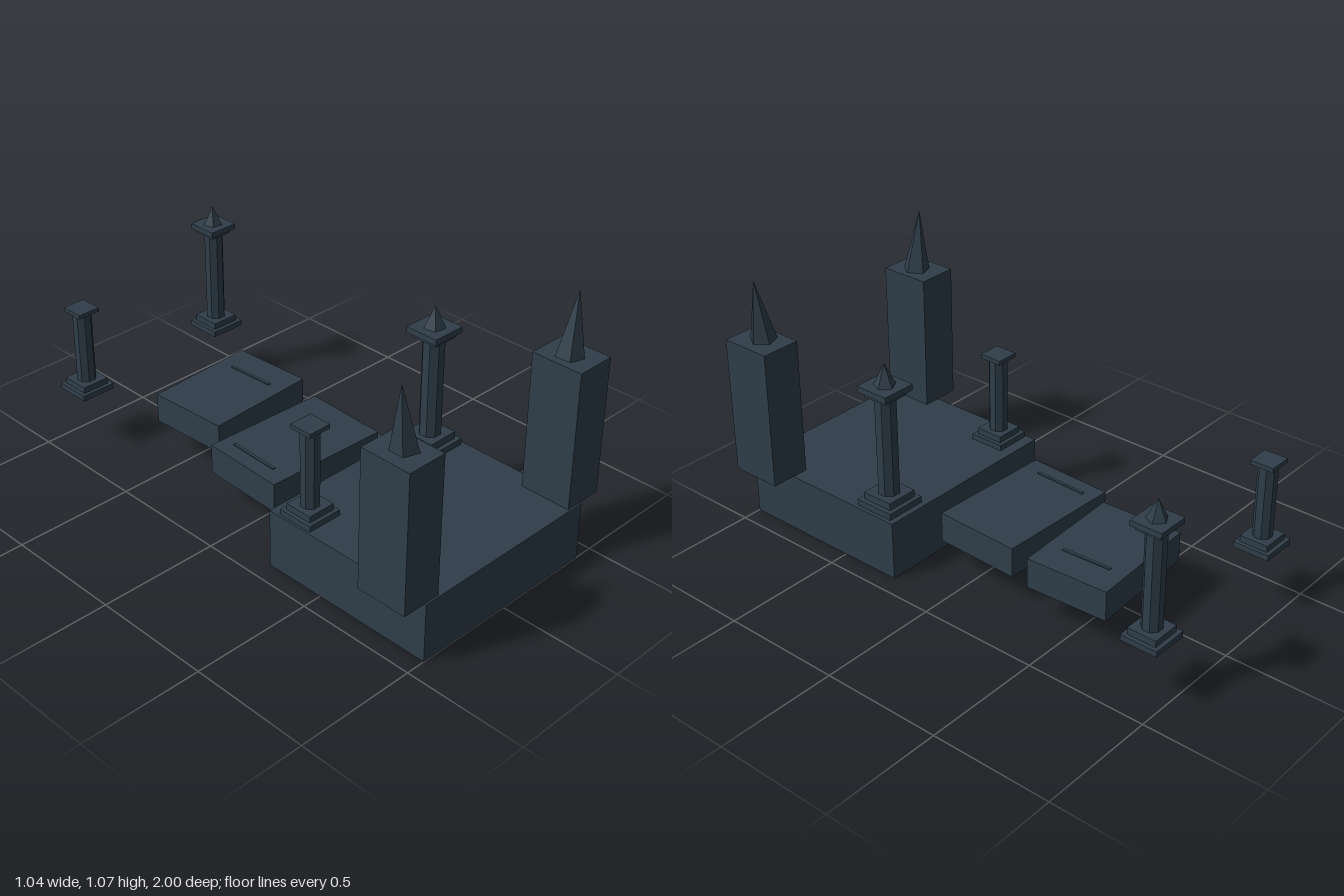
import * as THREE from 'three';

const stone = new THREE.MeshStandardMaterial({ color: 0x2f3e4a, flatShading: true });
stone.name = 'dark slate stone';
stone.side = THREE.DoubleSide;

const BASE = 0.245; // deck level

function add(parent, name, geometry, x, y, z) {
  const mesh = new THREE.Mesh(geometry, stone);
  mesh.name = name;
  mesh.position.set(x, y, z);
  parent.add(mesh);
  return mesh;
}

// Square block standing on height y
function block(parent, name, w, h, d, x, y, z) {
  return add(parent, name, new THREE.BoxGeometry(w, h, d), x, y + h / 2, z);
}

// Platform: a hollow box, open underneath
function platform() {
  const geo = new THREE.BoxGeometry(0.84, BASE, 0.76);
  const index = Array.from(geo.index.array);
  index.splice(18, 6); // leave out the bottom face
  geo.setIndex(index);
  geo.clearGroups();
  return geo;
}

// Tower with a leaning five-sided spire
function tower(side) {
  const g = new THREE.Group();
  g.name = side < 0 ? 'rightTower' : 'leftTower';
  block(g, 'towerBody', 0.167, 0.57, 0.215, 0, 0, 0);
  const geo = new THREE.ConeGeometry(0.055, 0.257, 5, 1);
  geo.rotateY(side < 0 ? Math.PI / 2 : 0.35);
  geo.translate(0, 0.1285, 0);
  const spire = add(g, 'spire', geo, -side * 0.01, 0.568, 0);
  spire.rotation.z = -side * 0.1;
  g.position.set(side * 0.435, BASE, 0.885);
  return g;
}

// Stepped column with an octagonal shaft; whole ones carry a second cap and finial
function pillar(name, x, z, s, top, whole) {
  const g = new THREE.Group();
  g.name = name;
  const tier1 = 0.027 * s, tier2 = 0.03 * s;
  const shaftStart = tier1 + tier2;
  const shaftHeight = top - BASE - shaftStart;
  block(g, 'plinth', 0.172 * s, tier1, 0.172 * s, 0, 0, 0);
  block(g, 'upperPlinth', 0.135 * s, tier2, 0.135 * s, 0, tier1, 0);
  const shaft = new THREE.CylinderGeometry(0.0445 * s, 0.0445 * s, shaftHeight, 8);
  shaft.rotateY(Math.PI / 8);
  add(g, 'shaft', shaft, 0, shaftStart + shaftHeight / 2, 0);
  const capY = top - BASE;
  block(g, 'capital', 0.111 * s, 0.02 * s, 0.111 * s, 0, capY, 0);
  if (whole) {
    block(g, 'abacus', 0.145 * s, 0.025 * s, 0.145 * s, 0, capY + 0.02 * s, 0);
    const cone = new THREE.ConeGeometry(0.044 * s, 0.09 * s, 5);
    cone.rotateY(0.5);
    add(g, 'finial', cone, 0, capY + 0.09 * s, 0);
  }
  g.position.set(x, BASE, z);
  return g;
}

// Floating slab with a thin raised crack strip
function slab(name, w, d, x, y, z, turn, stripX, stripZ, stripLength) {
  const g = new THREE.Group();
  g.name = name;
  block(g, 'slabBody', w, 0.125, d, 0, 0, 0);
  block(g, 'crack', 0.012, 0.005, stripLength, stripX, 0.125, stripZ);
  g.position.set(x, y, z);
  g.rotation.y = turn;
  return g;
}

export function createModel() {
  const model = new THREE.Group();
  model.name = 'ruinedBridge';
  add(model, 'platform', platform(), 0, BASE / 2, 0.62);
  for (const side of [-1, 1]) model.add(tower(side));
  model.add(
    pillar('frontBrokenPillar', -0.335, 0.362, 0.88, 0.614, false),
    pillar('frontPillar', 0.318, 0.35, 1, 0.715, true),
    pillar('backBrokenPillar', -0.36, -0.895, 0.87, 0.597, false),
    pillar('backPillar', 0.362, -0.923, 0.89, 0.687, true),
    slab('nearSlab', 0.537, 0.363, -0.022, 0.12, -0.038, -0.037, -0.2, -0.01, 0.23),
    slab('farSlab', 0.483, 0.348, 0.038, 0.14, -0.473, 0.052, 0.116, 0, 0.21)
  );
  return model;
}
